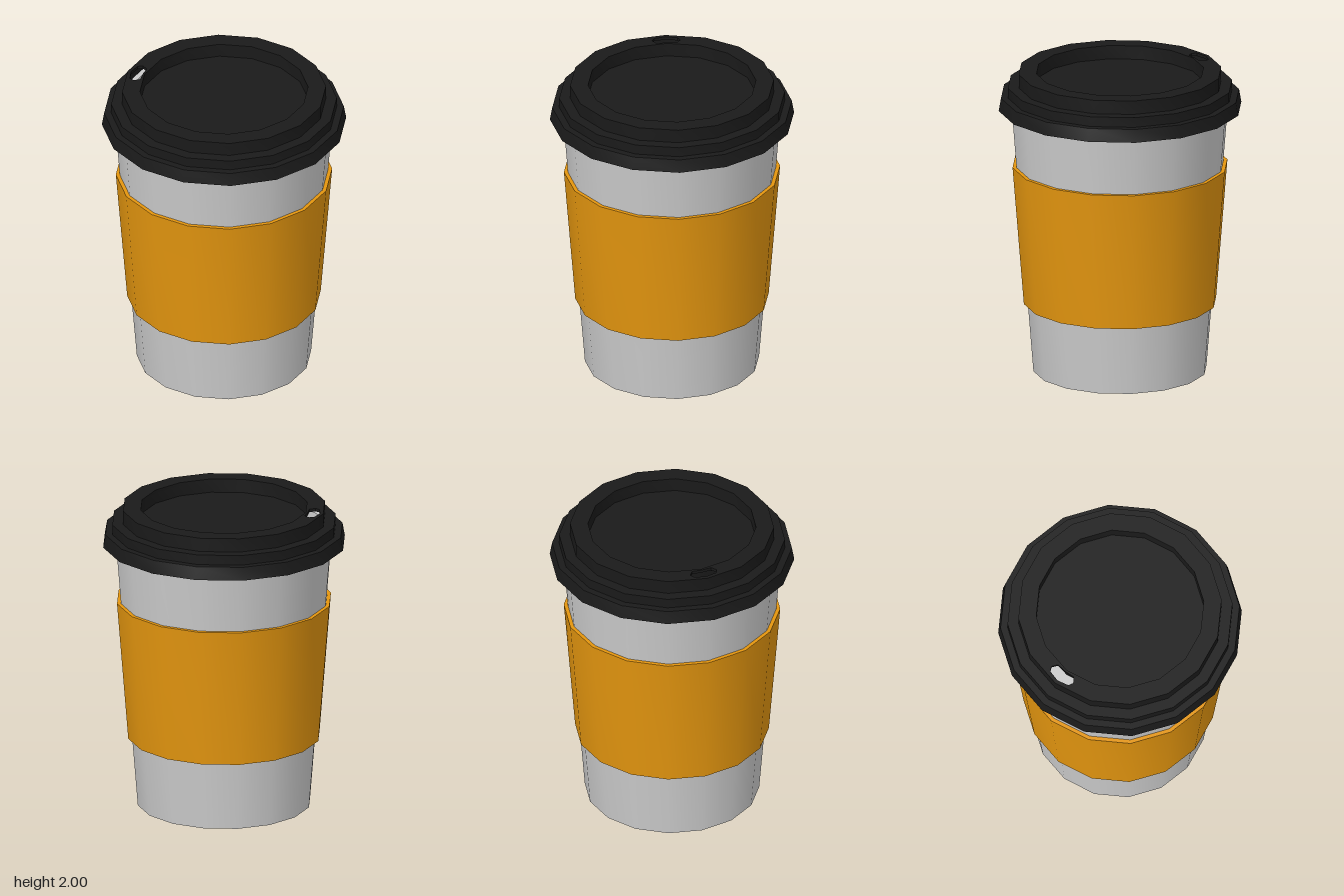
import * as THREE from 'three';
import { toCreasedNormals } from 'three/addons/utils/BufferGeometryUtils.js';

const SIDES = 16;
const CREASE = 0.5;

function material(color) {
  return new THREE.MeshStandardMaterial({ color, side: THREE.DoubleSide });
}

// Revolve a profile of [radius, height] pairs, smooth around and sharp at the steps
function turned(name, profile, mat) {
  const points = profile.map(([r, y]) => new THREE.Vector2(r, y));
  const mesh = new THREE.Mesh(toCreasedNormals(new THREE.LatheGeometry(points, SIDES), CREASE), mat);
  mesh.name = name;
  return mesh;
}

// Corners of a regular polygon with a corner on each axis
function polygon(radius) {
  return Array.from({ length: SIDES }, (_, i) => {
    const a = (i / SIDES) * Math.PI * 2;
    return new THREE.Vector2(Math.cos(a) * radius, Math.sin(a) * radius);
  });
}

export function createModel() {
  const paper = material(0xcccccc);
  const card = material(0xe4960f);
  const plastic = material(0x1a1a1a);

  const model = new THREE.Group();
  model.name = 'coffeeCup';

  // Hollow tapered cup with a recessed base and a rim hidden under the lid
  model.add(turned('cup', [
    [0, 0.05], [0.51, 0.05], [0.51, 0], [0.56, 0],
    [0.703, 1.8], [0.75, 1.8], [0.75, 1.83], [0.687, 1.83],
    [0.545, 0.06], [0, 0.06],
  ], paper));

  // Cardboard sleeve around the middle
  model.add(turned('sleeve', [
    [0.597, 0.455], [0.622, 0.455], [0.695, 1.375], [0.67, 1.375], [0.597, 0.455],
  ], card));

  // Stepped lid with a sunken centre
  const lid = new THREE.Group();
  lid.name = 'lid';
  lid.add(turned('lidSkirt', [
    [0.755, 1.835], [0.77, 1.76], [0.785, 1.76], [0.77, 1.845],
    [0.725, 1.845], [0.725, 1.91], [0.655, 1.91], [0.655, 2],
  ], plastic));
  lid.add(turned('lidRecess', [[0.54, 2], [0.54, 1.91], [0, 1.91]], plastic));

  // Raised ring on top of the lid, pierced by the sip hole
  const ring = new THREE.Shape(polygon(0.655));
  ring.holes.push(new THREE.Path(polygon(0.54)));
  ring.holes.push(new THREE.Path([
    [-0.632, 0], [-0.613, 0.075], [-0.582, 0.09], [-0.547, 0.065],
    [-0.553, 0], [-0.547, -0.065], [-0.582, -0.09], [-0.613, -0.075],
  ].map(([x, y]) => new THREE.Vector2(x, y))));
  const ringGeometry = new THREE.ExtrudeGeometry(ring, { depth: 0.02, bevelEnabled: false });
  ringGeometry.rotateX(-Math.PI / 2).translate(0, 1.98, 0);
  const top = new THREE.Mesh(toCreasedNormals(ringGeometry, CREASE), plastic);
  top.name = 'lidTopRing';
  lid.add(top);

  model.add(lid);
  return model;
}
